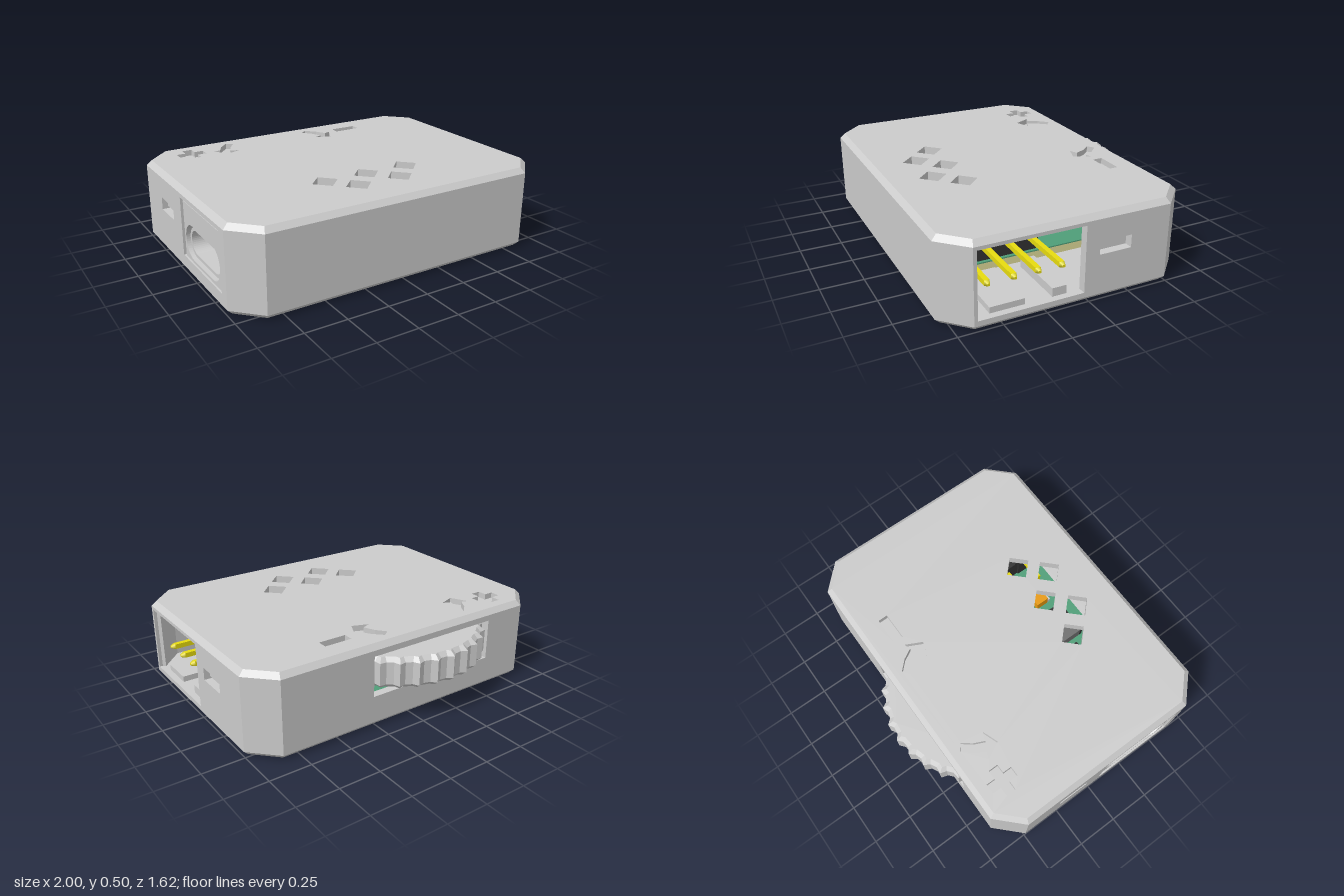
import * as THREE from 'three';

const mat = (color) => new THREE.MeshStandardMaterial({ color });
const GREY = mat(0xcccccc), GREEN = mat(0x4f9e78), BLACK = mat(0x333333), CHIP = mat(0x707070);
const GOLD = mat(0xe8dc10), CREAM = mat(0xe0dc9a), ORANGE = mat(0xe89a10);

// Case outline, counter-clockwise seen from above, as [x, z]
const OUTLINE = [[-0.85, 0.81], [0.85, 0.81], [1, 0.66], [1, -0.49],
  [0.85, -0.64], [-0.85, -0.64], [-1, -0.49], [-1, 0.66]];
const BEVEL = 0.03, WALL = 0.05, CX = -0.155;

// Same outline moved inwards by d
const inset = (d) => OUTLINE.map(([x, z]) => {
  const k = d * Math.tan(Math.PI / 8), m = z - 0.085;
  const onSide = Math.abs(x) > 0.9;
  return [x - Math.sign(x) * (onSide ? d : k), z - Math.sign(m) * (onSide ? k : d)];
});
const v2 = (pts) => pts.map(([x, y]) => new THREE.Vector2(x, y));
const flip = (pts) => pts.map(([x, z]) => [x, -z]);
const rect = (x0, x1, y0, y1) => [[x0, y0], [x1, y0], [x1, y1], [x0, y1]];

function shapeOf(pts, holes = []) {
  const s = new THREE.Shape(v2(pts));
  holes.forEach((h) => s.holes.push(new THREE.Path(v2(h))));
  return s;
}

function stadium(target, x0, x1, y0, y1) {
  const r = (y1 - y0) / 2 - 0.001, cy = (y0 + y1) / 2;
  target.absarc(x1 - r, cy, r, -Math.PI / 2, Math.PI / 2, false);
  target.absarc(x0 + r, cy, r, Math.PI / 2, Math.PI * 1.5, false);
  return target;
}

export function createModel() {
  const group = new THREE.Group();
  const add = (name, geo, material = GREY, parent = group) => {
    const m = new THREE.Mesh(geo, material);
    m.name = name;
    parent.add(m);
    return m;
  };
  const box = (name, x0, x1, y0, y1, z0, z1, material) => {
    const m = add(name, new THREE.BoxGeometry(x1 - x0, y1 - y0, z1 - z0), material);
    m.position.set((x0 + x1) / 2, (y0 + y1) / 2, (z0 + z1) / 2);
    return m;
  };
  // Horizontal plate from points in x, z
  const plate = (name, pts, holes, y0, y1, material) => {
    const geo = new THREE.ExtrudeGeometry(shapeOf(flip(pts), holes.map(flip)),
      { depth: y1 - y0, bevelEnabled: false });
    geo.rotateX(-Math.PI / 2).translate(0, y0, 0);
    return add(name, geo, material);
  };

  // Upright walls; hole u runs along each wall from its middle
  const wallHoles = {
    2: [rect(-0.555, 0.055, 0.06, 0.45), rect(0.14, 0.335, 0.265, 0.34)],
    4: [rect(-0.27, 0.58, 0.19, 0.435)],
    6: [rect(-0.015, 0.515, 0.1, 0.445), rect(-0.335, -0.14, 0.265, 0.34)],
  };
  const names = ['frontWall', 'frontLeftCorner', 'leftWall', 'backLeftCorner',
    'backWall', 'backRightCorner', 'rightWall', 'frontRightCorner'];
  OUTLINE.forEach(([ax, az], i) => {
    const [bx, bz] = OUTLINE[(i + 1) % 8];
    const half = Math.hypot(bx - ax, bz - az) / 2;
    const geo = new THREE.ExtrudeGeometry(
      shapeOf(rect(-half, half, BEVEL, 0.5 - BEVEL), wallHoles[i]),
      { depth: WALL, bevelEnabled: false });
    geo.translate(0, 0, -WALL);
    const m = add(names[i], geo);
    m.position.set((ax + bx) / 2, 0, (az + bz) / 2);
    m.rotation.y = Math.atan2(az - bz, bx - ax);
  });

  // Sloped edges around the top and bottom
  const inner = inset(BEVEL);
  const skirt = (name, low, yLow, high, yHigh) => {
    const p = [];
    for (let i = 0; i < 8; i++) {
      const j = (i + 1) % 8;
      const a = [low[i][0], yLow, low[i][1]], b = [low[j][0], yLow, low[j][1]];
      const c = [high[j][0], yHigh, high[j][1]], d = [high[i][0], yHigh, high[i][1]];
      p.push(...a, ...b, ...c, ...a, ...c, ...d);
    }
    const geo = new THREE.BufferGeometry();
    geo.setAttribute('position', new THREE.Float32BufferAttribute(p, 3));
    geo.computeVertexNormals();
    add(name, geo);
  };
  skirt('topBevel', OUTLINE, 0.5 - BEVEL, inner, 0.5);
  skirt('bottomBevel', inner, 0, OUTLINE, BEVEL);

  // Lid with diamond windows and engraved direction marks
  const diamonds = [[-0.27, 0.395], [0.005, 0.395], [0.28, 0.395], [-0.135, 0.53], [0.145, 0.53]]
    .map(([x, z]) => [[x - 0.083, z], [x, z + 0.083], [x + 0.083, z], [x, z - 0.083]]);
  const arrow = [[-0.45, -0.56], [-0.41, -0.53], [-0.455, -0.475], [-0.485, -0.41],
    [-0.435, -0.39], [-0.53, -0.355], [-0.58, -0.455], [-0.54, -0.442], [-0.505, -0.505]];
  const mirrored = arrow.map(([x, z]) => [2 * CX - x, z]).reverse();
  const a = 0.03, b = 0.085;
  const plus = [[-b, -a], [-a, -a], [-a, -b], [a, -b], [a, -a], [b, -a],
    [b, a], [a, a], [a, b], [-a, b], [-a, a], [-b, a]].map(([x, z]) => [x - 0.72, z - 0.465]);
  const minus = rect(0.32, 0.49, -0.495, -0.435);
  plate('lidSurface', inner, [...diamonds, arrow, mirrored, plus, minus], 0.465, 0.5);
  plate('lidUnderside', inner, diamonds, 0.445, 0.465);

  // Floor with four square sockets
  const sockets = [[0.48, -0.35], [0.48, 0.51], [-0.735, -0.37], [-0.735, 0.5]]
    .map(([x, z]) => rect(x - 0.045, x + 0.045, z - 0.04, z + 0.04));
  plate('floorUnderside', inner, sockets, 0, 0.045);
  plate('floor', inner, [], 0.045, 0.06);
  box('floorRib', 0.6, 0.96, 0.055, 0.095, 0.36, 0.56);
  box('floorRib', 0.6, 0.96, 0.055, 0.11, 0.115, 0.2);

  // Snap clips behind the side slots
  for (const s of [-1, 1]) {
    box('clipBack', s * 0.925 - 0.015, s * 0.925 + 0.015, 0.23, 0.38, -0.29, -0.02);
    box('clipTongue', s * 0.95 - 0.02, s * 0.95 + 0.02, 0.285, 0.335, -0.235, -0.07);
  }

  // Socket cover and rounded metal port in the right wall
  const cover = shapeOf(rect(0.085, 0.58, 0.1, 0.43));
  cover.holes.push(stadium(new THREE.Path(), 0.1, 0.57, 0.115, 0.32));
  const coverGeo = new THREE.ExtrudeGeometry(cover, { depth: 0.04, bevelEnabled: false });
  const coverMesh = add('portCover', coverGeo);
  coverMesh.rotation.y = -Math.PI / 2;
  coverMesh.position.x = -0.95;
  const shell = stadium(new THREE.Shape(), 0.115, 0.555, 0.125, 0.305);
  shell.holes.push(stadium(new THREE.Path(), 0.135, 0.535, 0.145, 0.285));
  const shellMesh = add('portShell',
    new THREE.ExtrudeGeometry(shell, { depth: 0.55, bevelEnabled: false, curveSegments: 10 }));
  shellMesh.rotation.y = -Math.PI / 2;
  shellMesh.position.x = -0.42;
  box('portBack', -0.5, -0.44, 0.14, 0.29, 0.16, 0.51, BLACK);
  box('portTongue', -0.9, -0.46, 0.195, 0.235, 0.2, 0.47, BLACK);

  // Circuit board and components
  box('boardCore', -0.9, 0.55, 0.06, 0.105, -0.56, 0.66, CREAM);
  box('boardSurface', -0.9, 0.55, 0.105, 0.112, -0.56, 0.66, GREEN);
  box('chip', -0.2, 0, 0.11, 0.2, 0.3, 0.55, CHIP);
  box('chipEdge', 0, 0.035, 0.11, 0.18, 0.3, 0.55, BLACK);
  box('chipEdge', -0.2, 0, 0.11, 0.18, 0.55, 0.57, BLACK);
  box('smallPart', -0.345, -0.32, 0.11, 0.2, 0.36, 0.43, BLACK);
  box('smallPart', -0.27, -0.25, 0.11, 0.2, 0.31, 0.48, BLACK);
  box('lamp', 0.105, 0.185, 0.11, 0.18, 0.44, 0.525, ORANGE);
  box('lampBase', 0.105, 0.185, 0.11, 0.15, 0.525, 0.545);

  // Four-pin angled header
  for (const z of [0.555, 0.405, 0.265, 0.125]) {
    box('headerBlock', 0.39, 0.53, 0.112, 0.28, z - 0.06, z + 0.06, BLACK);
    box('headerLink', 0.4, 0.52, 0.112, 0.265, z - 0.08, z + 0.08, BLACK);
    box('pin', 0.25, 0.92, 0.2, 0.23, z - 0.015, z + 0.015, GOLD);
    box('pinLeg', 0.25, 0.28, 0.11, 0.2, z - 0.015, z + 0.015, GOLD);
    const tip = add('pinTip', new THREE.CylinderGeometry(0.01, 0.0212, 0.025, 4).rotateY(Math.PI / 4), GOLD);
    tip.rotation.z = -Math.PI / 2;
    tip.position.set(0.9325, 0.215, z);
  }

  // Scalloped thumb wheel poking out of the back
  const rim = [];
  const teeth = 32;
  for (let i = 0; i < teeth; i++) {
    for (const [t, r] of [[0, 0.555], [0.3, 0.53], [0.7, 0.53]]) {
      const ang = Math.PI / 2 + ((i + t) / teeth) * Math.PI * 2;
      rim.push([r * Math.cos(ang), r * Math.sin(ang)]);
    }
  }
  const wheelGeo = new THREE.ExtrudeGeometry(shapeOf(rim), {
    depth: 0.135, bevelEnabled: true, bevelSegments: 1,
    bevelThickness: 0.025, bevelSize: 0.025, bevelOffset: -0.025 });
  wheelGeo.rotateX(-Math.PI / 2);
  add('thumbWheel', wheelGeo).position.set(CX, 0.25, -0.255);
  add('wheelHub', new THREE.CylinderGeometry(0.12, 0.12, 0.13, 24), BLACK).position.set(CX, 0.17, -0.255);

  return group;
}
